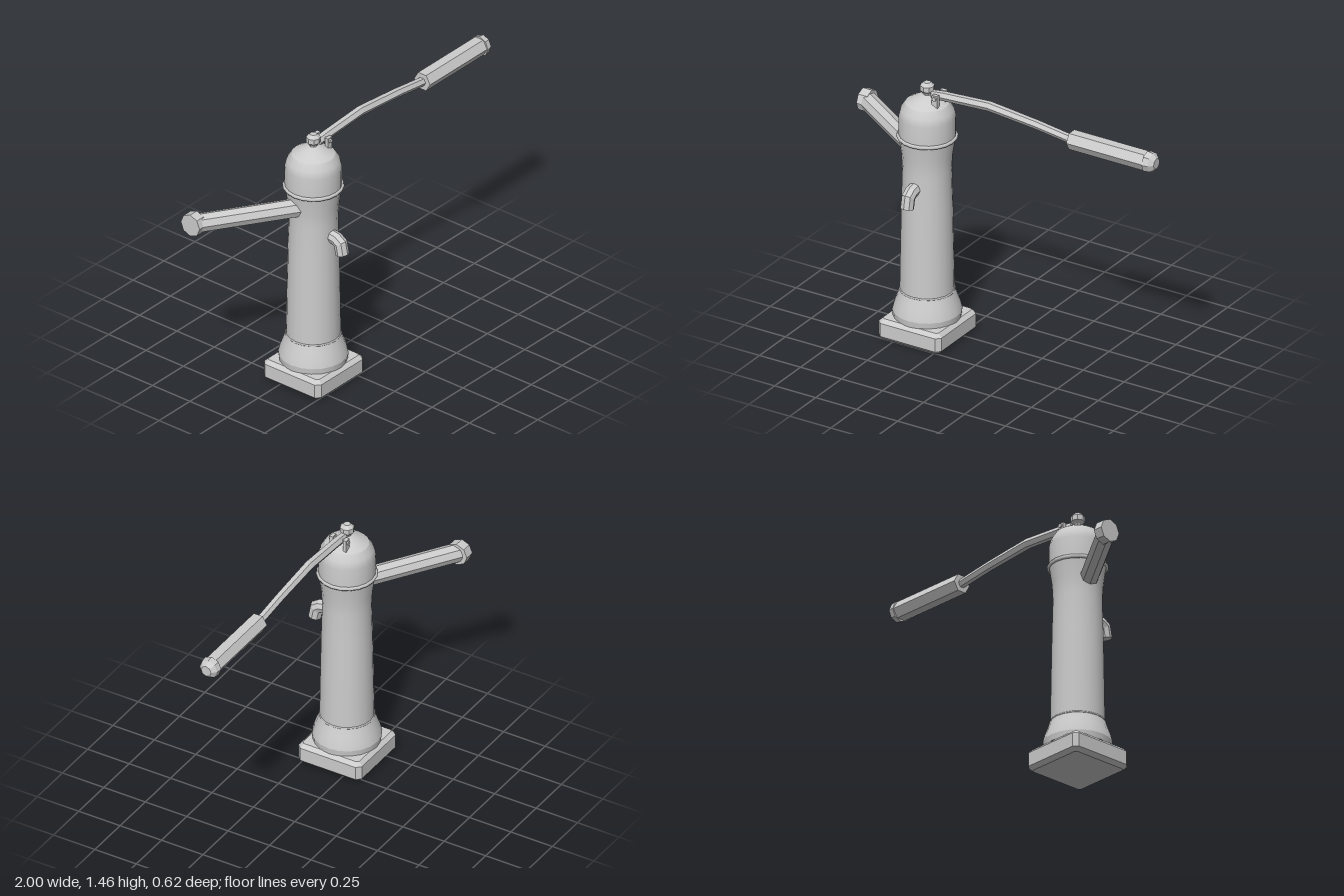
import * as THREE from 'three';

const V = (x, y, z) => new THREE.Vector3(x, y, z);
const CX = -0.4, CZ = 0.08; // pump axis

// Faceted tube through points lying in the plane perpendicular to side
function facetedTube(points, radii, sides, side) {
  const rings = points.map((p, i) => {
    const a = i > 0 ? p.clone().sub(points[i - 1]).normalize() : null;
    const b = i < points.length - 1 ? points[i + 1].clone().sub(p).normalize() : null;
    const t = (a && b ? a.clone().add(b) : (a || b).clone()).normalize();
    const miter = 1 / t.dot(a || b);
    const n = t.clone().cross(side);
    return Array.from({ length: sides }, (_, j) => {
      const ang = (j / sides) * Math.PI * 2;
      return p.clone()
        .addScaledVector(side, Math.cos(ang) * radii[i])
        .addScaledVector(n, Math.sin(ang) * radii[i] * miter);
    });
  });
  const pos = [];
  const tri = (...vs) => vs.forEach(v => pos.push(v.x, v.y, v.z));
  const last = rings.length - 1;
  for (let j = 0; j < sides; j++) {
    const k = (j + 1) % sides;
    for (let i = 0; i < last; i++) {
      tri(rings[i][j], rings[i][k], rings[i + 1][k]);
      tri(rings[i][j], rings[i + 1][k], rings[i + 1][j]);
    }
    tri(points[0], rings[0][k], rings[0][j]);
    tri(points[last], rings[last][j], rings[last][k]);
  }
  const g = new THREE.BufferGeometry();
  g.setAttribute('position', new THREE.Float32BufferAttribute(pos, 3));
  g.computeVertexNormals();
  return g;
}

export function createModel() {
  const group = new THREE.Group();
  const iron = new THREE.MeshStandardMaterial({ color: 0xcccccc });
  iron.name = 'grey iron';

  const add = (name, geometry, x = 0, y = 0, z = 0) => {
    const m = new THREE.Mesh(geometry, iron);
    m.name = name;
    m.position.set(x, y, z);
    group.add(m);
    return m;
  };
  const turned = (name, profile, segments = 20) =>
    add(name, new THREE.LatheGeometry(profile.map(([r, y]) => new THREE.Vector2(r, y)), segments), CX, 0, CZ);

  // Square foot with chamfered edges and corners
  const h = 0.17, c = 0.012;
  const plan = new THREE.Shape([
    [-h + c, -h], [h - c, -h], [h, -h + c], [h, h - c],
    [h - c, h], [-h + c, h], [-h, h - c], [-h, -h + c],
  ].map(([x, y]) => new THREE.Vector2(x, y)));
  const foot = new THREE.ExtrudeGeometry(plan, {
    depth: 0.076, bevelEnabled: true, bevelSegments: 1, bevelSize: 0.021, bevelThickness: 0.021,
  });
  foot.rotateX(-Math.PI / 2);
  add('foot', foot, CX, 0.021, CZ);

  // Turned body, from the flared base up to the domed cap
  turned('flareRim', [[0.178, 0.115], [0.182, 0.15]]);
  turned('flare', [[0.182, 0.15], [0.172, 0.19], [0.157, 0.23], [0.145, 0.268]]);
  turned('barrel', [[0.143, 0.26], [0.139, 0.5], [0.134, 0.78], [0.129, 0.96], [0.134, 1.05], [0.149, 1.15]]);
  turned('cap', [[0.149, 1.15], [0.149, 1.265], [0.139, 1.305], [0.115, 1.342]]);
  turned('capTop', [[0.115, 1.342], [0.07, 1.368], [0.025, 1.388], [0, 1.39]]);

  // Raised bands
  for (const [name, y, r, t] of [['lowerBand', 0.268, 0.142, 0.006], ['upperBand', 1.151, 0.15, 0.011]]) {
    const ring = new THREE.TorusGeometry(r, t, 6, 20);
    ring.rotateX(Math.PI / 2);
    add(name, ring, CX, y, CZ);
  }

  // Finial on top
  add('finial', facetedTube(
    [V(CX, 1.38, CZ), V(CX, 1.395, CZ), V(CX, 1.412, CZ), V(CX, 1.44, CZ), V(CX, 1.458, CZ)],
    [0.02, 0.022, 0.038, 0.038, 0.019], 8, V(1, 0, 0)));

  // Hinge lugs and pin
  for (const s of [-1, 1]) {
    add('hingeLug', new THREE.BoxGeometry(0.034, 0.075, 0.02), -0.325, 1.38, CZ + s * 0.04);
  }
  const pin = new THREE.CylinderGeometry(0.012, 0.012, 0.116, 8);
  pin.rotateX(Math.PI / 2);
  add('hingePin', pin, -0.325, 1.4, CZ);

  // Long bent lever with a thicker grip
  const zAxis = V(0, 0, 1);
  add('lever', facetedTube(
    [V(-0.365, 1.395, CZ), V(-0.3, 1.403, CZ), V(-0.02, 1.42, CZ), V(0.27, 1.392, CZ), V(0.5, 1.361, CZ)],
    [0.025, 0.026, 0.027, 0.025, 0.024], 6, zAxis));
  add('grip', facetedTube(
    [V(0.48, 1.364, CZ), V(0.945, 1.364, CZ)], [0.053, 0.053], 6, zAxis));
  add('gripEnd', facetedTube(
    [V(0.942, 1.364, CZ), V(0.975, 1.364, CZ), V(0.998, 1.364, CZ)], [0.058, 0.053, 0.03], 8, zAxis));

  // Slanting side pipe with an end collar
  const yAxis = V(0, 1, 0);
  add('sidePipe', facetedTube(
    [V(-0.46, 1.057, 0.092), V(-0.97, 1.057, -0.245)], [0.051, 0.051], 8, yAxis));
  add('pipeCollar', facetedTube(
    [V(-0.945, 1.057, -0.248), V(-1, 1.057, -0.248)], [0.063, 0.063], 8, yAxis));

  // Bent spout on the front
  add('spout', facetedTube(
    [V(CX, 0.895, 0.18), V(CX, 0.886, 0.235), V(CX, 0.868, 0.262), V(CX, 0.808, 0.274)],
    [0.036, 0.036, 0.036, 0.036], 8, V(1, 0, 0)));

  return group;
}
